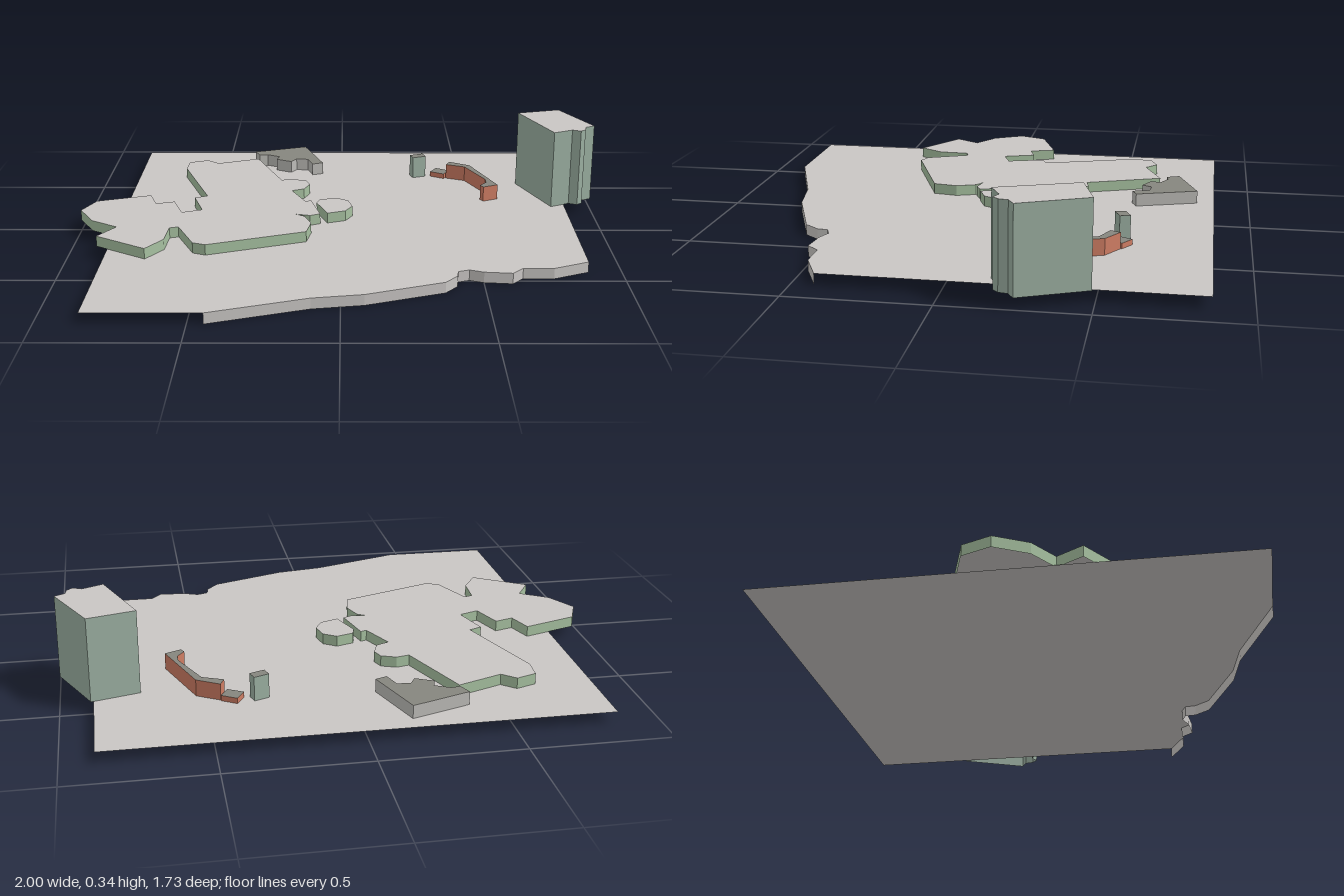
import * as THREE from 'three';

const mat = (name, color) =>
  new THREE.MeshStandardMaterial({ name, color, side: THREE.DoubleSide });

const GROUND_Y = 0.04;

// Flat polygon at height y; points are [x, z] plan coordinates
function cap(points, y) {
  const shape = new THREE.Shape(points.map(([x, z]) => new THREE.Vector2(x, -z)));
  const geo = new THREE.ShapeGeometry(shape);
  geo.rotateX(-Math.PI / 2);
  geo.translate(0, y, 0);
  return geo;
}

// Vertical flat-shaded wall following the plan points
function wall(points, y0, y1, closed) {
  const pos = [];
  const count = closed ? points.length : points.length - 1;
  for (let i = 0; i < count; i++) {
    const [ax, az] = points[i];
    const [bx, bz] = points[(i + 1) % points.length];
    pos.push(ax, y0, az, ax, y1, az, bx, y1, bz);
    pos.push(ax, y0, az, bx, y1, bz, bx, y0, bz);
  }
  const geo = new THREE.BufferGeometry();
  geo.setAttribute('position', new THREE.Float32BufferAttribute(pos, 3));
  geo.computeVertexNormals();
  return geo;
}

export function createModel() {
  const model = new THREE.Group();
  model.name = 'siteModel';

  const paleGrey = mat('paleGrey', 0xc9c6c4);
  const darkGrey = mat('darkGrey', 0x86867e);
  const stoneGrey = mat('stoneGrey', 0xbcbbb7);
  const leafGreen = mat('leafGreen', 0xa6c0a0);
  const sageGreen = mat('sageGreen', 0x9cb0a2);
  const brickRed = mat('brickRed', 0xcd7c63);

  function add(parent, name, geo, material) {
    const mesh = new THREE.Mesh(geo, material);
    mesh.name = name;
    parent.add(mesh);
  }

  // Open-bottomed building: walls plus a flat roof
  function building(name, points, top, wallMat, roofMat) {
    const group = new THREE.Group();
    group.name = name;
    add(group, name + 'Walls', wall(points, GROUND_Y, top, true), wallMat);
    add(group, name + 'Roof', cap(points, top), roofMat);
    model.add(group);
  }

  // Ground sheet with an irregular front edge that drops down as a bank
  const bankEdge = [
    [0.88, 0.42], [0.75, 0.48], [0.64, 0.48], [0.6, 0.525], [0.5, 0.515], [0.45, 0.495],
    [0.41, 0.51], [0.405, 0.55], [0.36, 0.605], [0.08, 0.71], [-0.1, 0.74], [-0.445, 0.86],
  ];
  const ground = [[-0.85, -0.865], [0.885, -0.865], ...bankEdge, [-0.85, 0.86]];
  add(model, 'ground', cap(ground, GROUND_Y), paleGrey);
  add(model, 'frontBank', wall(bankEdge, 0, GROUND_Y, false), paleGrey);

  // Large low complex and its small neighbour
  building('mainComplex', [
    [-1, 0], [-0.957, -0.105], [-0.754, -0.174], [-0.722, -0.078], [-0.652, -0.1],
    [-0.61, 0.02], [-0.535, -0.008], [-0.578, -0.147], [-0.53, -0.168], [-0.652, -0.516],
    [-0.647, -0.6], [-0.572, -0.628], [-0.524, -0.586], [-0.358, -0.65], [-0.246, -0.366],
    [-0.198, -0.377], [-0.144, -0.356], [-0.128, -0.313], [-0.15, -0.254], [-0.198, -0.233],
    [-0.14, -0.105], [-0.176, -0.094], [-0.118, -0.115], [-0.08, 0.037], [-0.118, 0.055],
    [-0.176, 0.04], [-0.139, 0.062], [-0.112, 0.136], [-0.128, 0.227], [-0.487, 0.36],
    [-0.535, 0.34], [-0.604, 0.18], [-0.636, 0.19], [-0.642, 0.307], [-0.7, 0.398],
    [-0.893, 0.275], [-0.834, 0.18], [-0.936, 0.115],
  ], 0.08, leafGreen, paleGrey);

  building('smallPavilion', [
    [-0.086, -0.125], [-0.021, -0.147], [0.027, -0.115], [0.043, -0.05],
    [0.016, 0.003], [-0.053, 0.03], [-0.096, -0.088],
  ], 0.08, leafGreen, paleGrey);

  // Stepped building at the back
  building('backBuilding', [
    [-0.374, -0.725], [-0.16, -0.8], [-0.08, -0.57], [-0.123, -0.553], [-0.144, -0.618],
    [-0.193, -0.623], [-0.214, -0.586], [-0.278, -0.618], [-0.267, -0.655],
    [-0.32, -0.682], [-0.353, -0.676],
  ], 0.088, stoneGrey, darkGrey);

  // Bent red wing with its low annex
  building('redWing', [
    [0.455, -0.548], [0.535, -0.5], [0.626, -0.249], [0.567, -0.222], [0.556, -0.243],
    [0.583, -0.281], [0.583, -0.318], [0.513, -0.479], [0.438, -0.511],
  ], 0.1, brickRed, darkGrey);
  building('redAnnex', [
    [0.401, -0.586], [0.455, -0.553], [0.428, -0.505], [0.374, -0.537],
  ], 0.06, brickRed, darkGrey);

  // Narrow block and tall tower
  building('narrowBlock', [
    [0.288, -0.553], [0.342, -0.575], [0.353, -0.537], [0.3, -0.516],
  ], 0.128, sageGreen, darkGrey);
  building('tower', [
    [0.722, -0.441], [0.893, -0.489], [1, -0.254], [0.963, -0.233], [0.957, -0.2],
    [0.936, -0.18], [0.904, -0.195], [0.829, -0.158],
  ], 0.345, sageGreen, paleGrey);

  return model;
}
